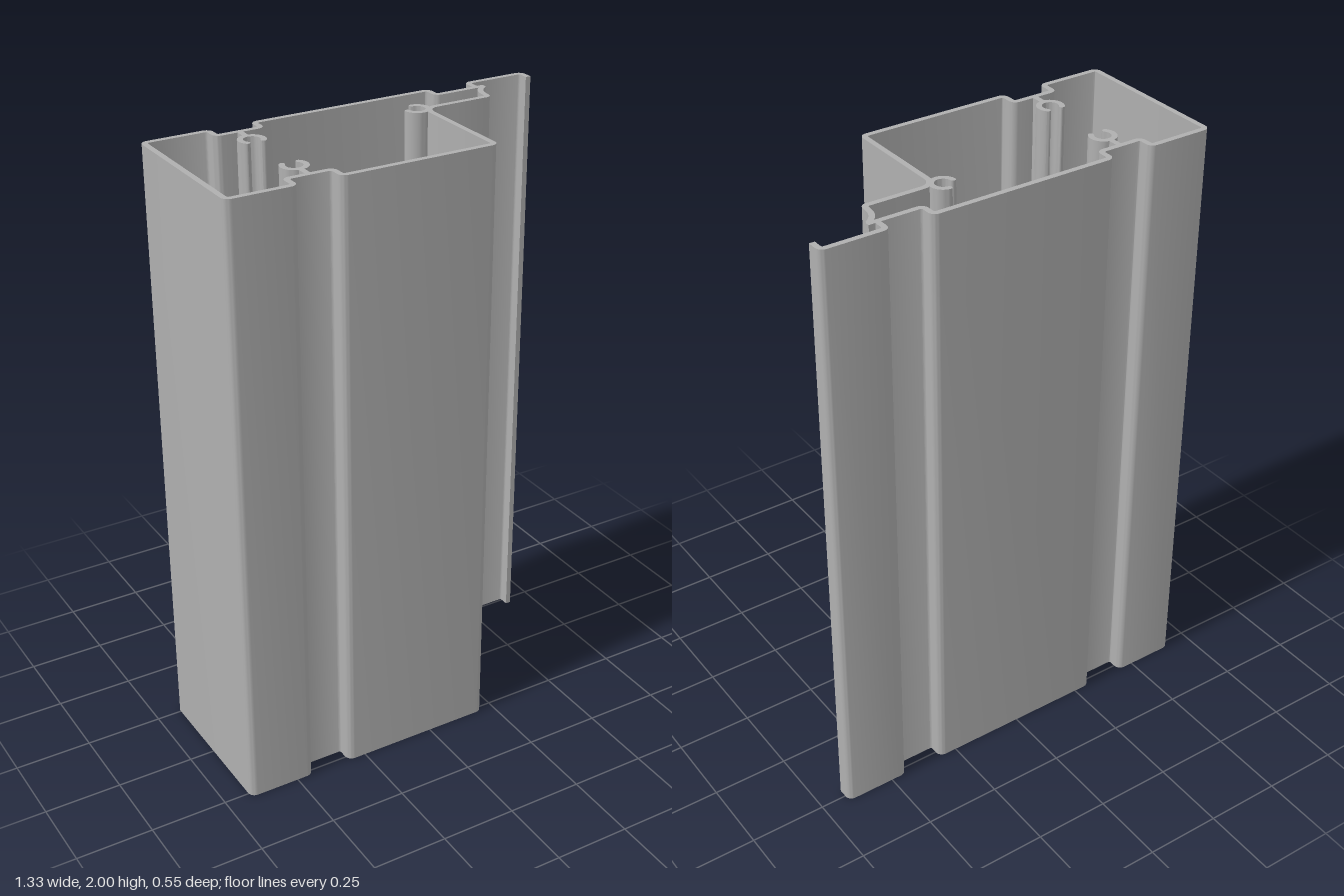
import * as THREE from 'three';
import { toCreasedNormals } from 'three/addons/utils/BufferGeometryUtils.js';

const HEIGHT = 2, HALF = 0.009; // profile length and half the wall thickness
const V = (x, z) => new THREE.Vector2(x, z);

// Turn [x, z, radius] corners into a centreline with filleted bends
function fillet(corners, radius) {
  const out = [];
  corners.forEach(([x, z, r = radius], i) => {
    const p = V(x, z);
    if (i === 0 || i === corners.length - 1) { out.push(p); return; }
    const u = V(corners[i - 1][0], corners[i - 1][1]).sub(p).normalize();
    const v = V(corners[i + 1][0], corners[i + 1][1]).sub(p).normalize();
    const half = Math.acos(u.dot(v)) / 2;
    const t = r / Math.tan(half);
    const c = p.clone().addScaledVector(u.clone().add(v).normalize(), r / Math.sin(half));
    const a = p.clone().addScaledVector(u, t).sub(c).angle();
    const b = p.clone().addScaledVector(v, t).sub(c).angle();
    const sweep = Math.atan2(Math.sin(b - a), Math.cos(b - a));
    for (let k = 0; k <= 7; k++) {
      const ang = a + sweep * k / 7;
      out.push(V(c.x + r * Math.cos(ang), c.y + r * Math.sin(ang)));
    }
  });
  return out;
}

// Thicken a centreline into a closed strip outline, optionally with round ends
function strip(path, roundEnds = false) {
  const n = path.length, left = [], right = [];
  const dir = (i) => path[i + 1].clone().sub(path[i]).normalize();
  path.forEach((p, i) => {
    const d0 = dir(Math.max(i - 1, 0)), d1 = dir(Math.min(i, n - 2));
    const m = d0.clone().add(d1).normalize();
    const w = HALF / m.dot(d1);
    left.push(V(p.x - m.y * w, p.y + m.x * w));
    right.push(V(p.x + m.y * w, p.y - m.x * w));
  });
  const cap = (p, d) => !roundEnds ? [] : [1, 2, 3, 4].map((k) => {
    const a = d.angle() + Math.PI / 2 - Math.PI * k / 5;
    return V(p.x + HALF * Math.cos(a), p.y + HALF * Math.sin(a));
  });
  return new THREE.Shape([
    ...left, ...cap(path[n - 1], dir(n - 2)),
    ...right.reverse(), ...cap(path[0], dir(0).negate()),
  ]);
}

// Extrude an outline drawn in x, z along the full height
function extrude(name, shape, material) {
  const geo = new THREE.ExtrudeGeometry(shape, { depth: HEIGHT, bevelEnabled: false });
  geo.rotateX(Math.PI / 2).translate(0, HEIGHT, 0);
  const mesh = new THREE.Mesh(toCreasedNormals(geo, 0.7), material);
  mesh.name = name;
  return mesh;
}

// C-shaped screw channel, open towards the given angle
function channel(x, z, open) {
  const gap = 0.85, r = 0.0345, pts = [];
  for (let k = 0; k <= 24; k++) {
    const a = open + gap + (2 * Math.PI - 2 * gap) * k / 24;
    pts.push(V(x + r * Math.cos(a), z + r * Math.sin(a)));
  }
  return strip(pts, true);
}

export function createModel() {
  const group = new THREE.Group();
  const metal = new THREE.MeshStandardMaterial({ color: 0xb0b0b0 });
  metal.name = 'grey metal';
  const add = (name, shape) => group.add(extrude(name, shape, metal));

  // Box wall: back face with two recesses, left side, front face with a recess, right side
  add('mainWall', strip(fillet([
    [0.482, -0.215], [0.304, -0.215], [0.304, -0.266], [-0.303, -0.266],
    [-0.303, -0.215], [-0.451, -0.215], [-0.451, -0.266], [-0.658, -0.266],
    [-0.658, 0.261], [-0.451, 0.261], [-0.451, 0.206], [-0.303, 0.206],
    [-0.303, 0.261], [0.2, 0.261], [0.2, -0.12, 0.042], [0.3, -0.12],
  ], 0.015)));

  // Stepped shelf curving up to the back wall
  const curve = new THREE.CubicBezierCurve(
    V(0.434, -0.135), V(0.437, -0.175), V(0.447, -0.19), V(0.473, -0.21)).getPoints(10);
  const bend = fillet([[0.3, -0.12], [0.432, -0.12], [0.434, -0.135]], 0.0105).slice(0, -1);
  add('shelf', strip([...bend, ...curve]));

  // Hooked flange at the back
  add('flange', strip(fillet([
    [0.452, -0.215], [0.452, -0.266], [0.655, -0.266], [0.655, -0.222],
  ], 0.014)));

  // Screw channels on stems behind both recesses, and one at the inner corner
  for (const [name, side, wall, centre] of [['back', -1, 0.208, 0.133], ['front', 1, 0.199, 0.122]]) {
    add(name + 'ChannelStem', strip([V(-0.377, side * wall), V(-0.377, side * (centre + 0.03))]));
    add(name + 'ScrewChannel', channel(-0.377, side * centre, -side * Math.PI / 2));
  }
  add('cornerScrewChannel', channel(0.179, -0.127, Math.PI * 1.25));

  return group;
}
